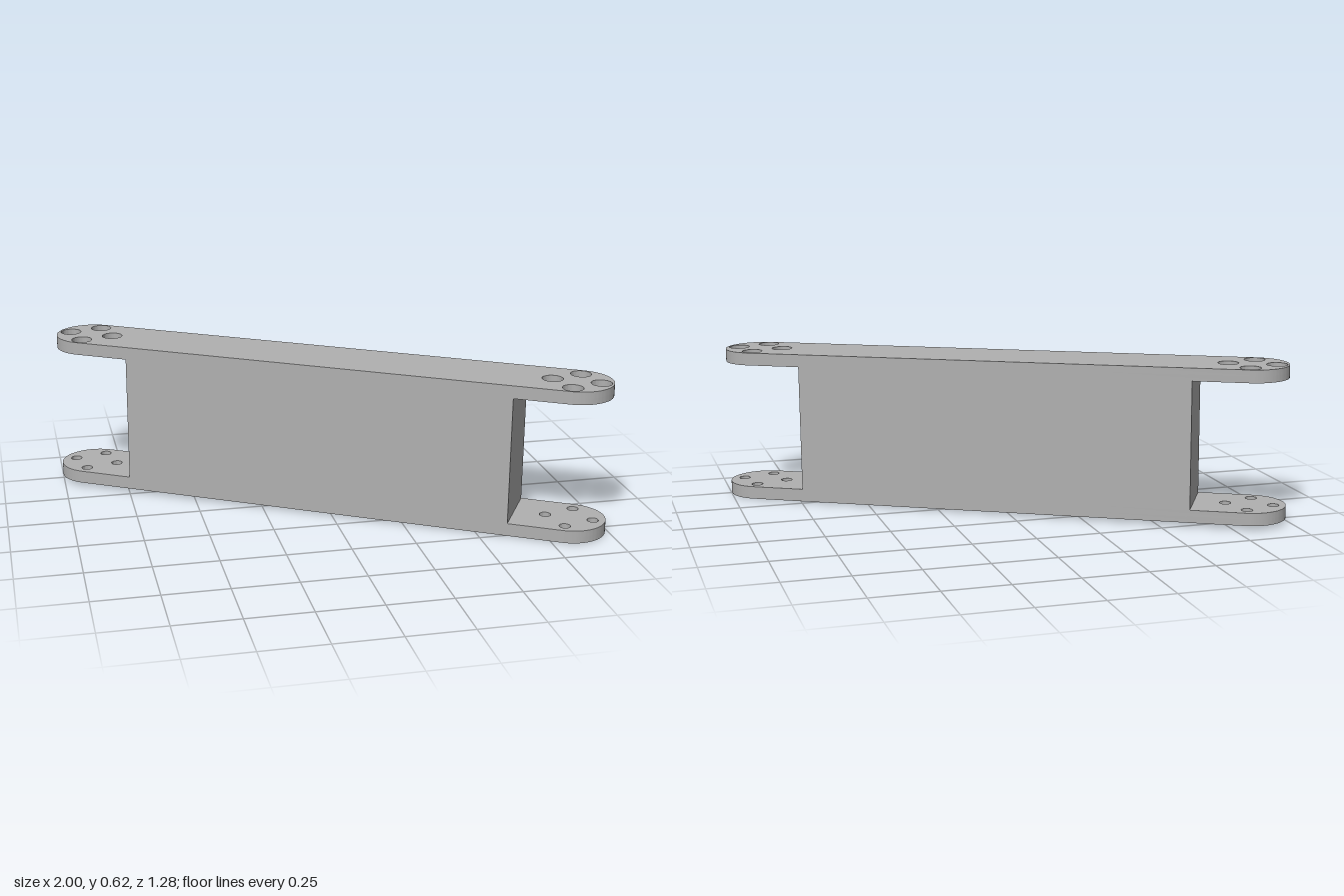
import * as THREE from 'three';
import { toCreasedNormals } from 'three/addons/utils/BufferGeometryUtils.js';

const R = 0.14;          // rounded end radius, half the link width
const C = 0.993;         // distance from centre to each end's bolt circle
const H = 0.6;           // overall height
const T = 0.05;          // flange thickness
const BORE_DEPTH = 0.025;
const BOLT_CIRCLE = 0.092;

// Rounded slab with four holes of the given radius at each end, from y0 up
function slab(holeRadius, y0, thickness) {
  const shape = new THREE.Shape();
  shape.moveTo(-C, -R);
  shape.lineTo(C, -R);
  shape.absarc(C, 0, R, -Math.PI / 2, Math.PI / 2, false);
  shape.lineTo(-C, R);
  shape.absarc(-C, 0, R, Math.PI / 2, Math.PI * 1.5, false);
  for (const end of [-C, C]) {
    for (let i = 0; i < 4; i++) {
      const a = (i * Math.PI) / 2;
      const hole = new THREE.Path();
      hole.absarc(end + BOLT_CIRCLE * Math.cos(a), BOLT_CIRCLE * Math.sin(a), holeRadius, 0, Math.PI * 2, true);
      shape.holes.push(hole);
    }
  }
  const geometry = new THREE.ExtrudeGeometry(shape, { depth: thickness, bevelEnabled: false, curveSegments: 28 });
  geometry.rotateX(-Math.PI / 2);
  geometry.translate(0, y0, 0);
  return toCreasedNormals(geometry, 0.6);
}

export function createModel() {
  const grey = new THREE.MeshStandardMaterial({ color: 0xb0b0b0 });
  grey.name = 'plain grey';

  const link = new THREE.Group();
  link.name = 'armLink';

  // Solid block between the flanges
  const web = new THREE.Mesh(new THREE.BoxGeometry(1.562, H - 2 * T, 2 * R), grey);
  web.name = 'web';
  link.add(web);

  // Flanges: narrow bolt holes inside, wide counterbores outside
  const inner = slab(0.022, H / 2 - T, T - BORE_DEPTH);
  const outer = slab(0.04, H / 2 - BORE_DEPTH, BORE_DEPTH);
  for (const [name, turn] of [['topFlange', 0], ['bottomFlange', Math.PI]]) {
    const flange = new THREE.Group();
    flange.name = name;
    const boltLayer = new THREE.Mesh(inner, grey);
    boltLayer.name = 'boltHoleLayer';
    const boreLayer = new THREE.Mesh(outer, grey);
    boreLayer.name = 'counterboreLayer';
    flange.add(boltLayer, boreLayer);
    flange.rotation.x = turn;
    link.add(flange);
  }

  // Turned diagonally, with a slight downward slope toward the front
  link.rotation.set(0, -Math.PI / 6, -0.0078);
  link.position.y = 0.309;

  const model = new THREE.Group();
  model.name = 'model';
  model.add(link);
  return model;
}
